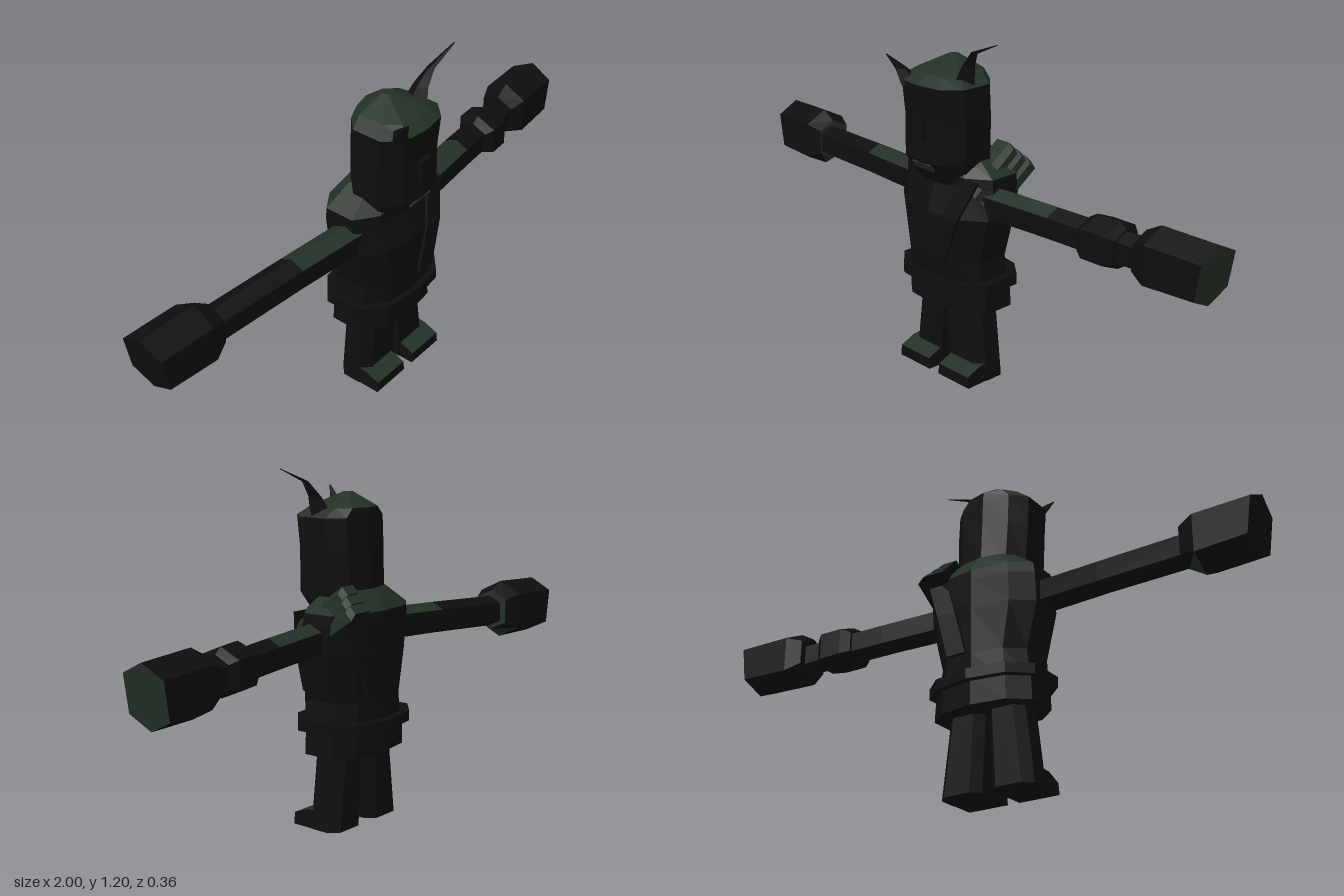
import * as THREE from 'three';

const charcoal = new THREE.MeshStandardMaterial({ color: 0x0e0e0e });
charcoal.name = 'charcoal';
const moss = new THREE.MeshStandardMaterial({ color: 0x243026 });
moss.name = 'mossGreen';

const V = (x, y, z) => new THREE.Vector3(x, y, z);

// Closed faceted skin over a list of rings; isMoss(normal, centre) picks the faces painted green
function loft(name, rings, isMoss = () => false) {
  const tris = [];
  const n = rings[0].length;
  for (let i = 0; i + 1 < rings.length; i++) {
    for (let j = 0; j < n; j++) {
      const k = (j + 1) % n;
      const [a, b, c, d] = [rings[i][j], rings[i][k], rings[i + 1][k], rings[i + 1][j]];
      tris.push([a, b, c], [a, c, d]);
    }
  }
  const cap = (ring, flip) => {
    const mid = ring.reduce((s, p) => s.add(p), V(0, 0, 0)).divideScalar(n);
    ring.forEach((p, j) => {
      const q = ring[(j + 1) % n];
      tris.push(flip ? [mid, q, p] : [mid, p, q]);
    });
  };
  cap(rings[0], true);
  cap(rings[rings.length - 1], false);
  // Turn the skin outwards
  let volume = 0;
  for (const [a, b, c] of tris) volume += a.dot(b.clone().cross(c));
  if (volume < 0) tris.forEach((t) => t.reverse());
  const sorted = [[], []];
  for (const [a, b, c] of tris) {
    const normal = b.clone().sub(a).cross(c.clone().sub(a)).normalize();
    const centre = a.clone().add(b).add(c).divideScalar(3);
    sorted[isMoss(normal, centre) ? 1 : 0].push(a, b, c);
  }
  const geo = new THREE.BufferGeometry().setFromPoints([...sorted[0], ...sorted[1]]);
  geo.addGroup(0, sorted[0].length, 0);
  geo.addGroup(sorted[0].length, sorted[1].length, 1);
  geo.computeVertexNormals();
  const mesh = new THREE.Mesh(geo, [charcoal, moss]);
  mesh.name = name;
  return mesh;
}

// Ten-sided body outline: half width, front z, back z
const outline = ([y, h, f, b]) => {
  const m = (f + b) / 2, F = f - m, B = b - m;
  return [[h, 0.45 * F], [0.62 * h, 0.9 * F], [0, F], [-0.62 * h, 0.9 * F], [-h, 0.45 * F],
    [-h, 0.45 * B], [-0.65 * h, 0.85 * B], [0, B], [0.65 * h, 0.85 * B], [h, 0.45 * B]]
    .map(([x, z]) => V(x, y, m + z));
};

// Upright hexagon across an arm: x, y, z, half height, half depth, lean
const hexagon = (s) => ([x, y, z, hy, hz, lean = 0]) =>
  [[1, 0], [0.6, 1], [-0.6, 1], [-1, 0], [-0.6, -1], [0.6, -1]]
    .map(([v, w]) => V(s * (x + lean * v), y + v * hy, z + w * hz));

// Tapering four-sided horn: each step is x, y, z, radius x, radius z
const horn = (name, steps) => loft(name, steps.map(([x, y, z, rx, rz]) =>
  [V(x + rx, y, z), V(x, y, z + rz), V(x - rx, y, z), V(x, y, z - rz)]));

const up = (n) => n.y > 0.4;

function createArm(s, name) {
  const arm = new THREE.Group();
  arm.name = name;
  const hex = hexagon(s);
  // Sleeve with green upper faces, then the bare forearm
  arm.add(loft('sleeve', [[0.14, 0.648, 0, 0.057, 0.05], [0.43, 0.638, -0.035, 0.056, 0.048]].map(hex), up));
  arm.add(loft('forearm', [[0.43, 0.638, -0.035, 0.056, 0.048], [0.78, 0.622, -0.075, 0.056, 0.048]].map(hex)));
  // Mitt with bevelled cuff
  arm.add(loft('mitt', [
    [0.745, 0.628, -0.08, 0.072, 0.062],
    [0.8, 0.625, -0.082, 0.105, 0.082],
    [0.985, 0.622, -0.098, 0.1, 0.082, 0.015],
  ].map(hex), (n, c) => n.x > 0.5 && Math.abs(n.y) < 0.85 && (s > 0 ? c.x > 0.9 : c.x > -0.85)));
  return arm;
}

function createLeg(s, name) {
  const leg = new THREE.Group();
  leg.name = name;
  const ring = (y, inner, outer, f, b) => {
    const c = 0.03;
    return [[inner, f], [outer - c, f], [outer, f - c], [outer, b + c], [outer - c, b], [inner + c, b], [inner, b + c]]
      .map(([x, z]) => V(s * x, y, z));
  };
  leg.add(loft('shin', [ring(0, 0.02, 0.175, 0.04, -0.085), ring(0.29, 0.004, 0.14, 0.04, -0.085)]));
  // Toe with sloping green top
  const toe = (z, h) => [[0.022, 0], [0.172, 0], [0.168, h], [0.026, h]].map(([x, y]) => V(s * x, y, z));
  leg.add(loft('toe', [toe(0, 0.065), toe(0.04, 0.062), toe(0.095, 0.04)], up));
  return leg;
}

export function createModel() {
  const model = new THREE.Group();
  model.name = 'hornedFigure';

  // Torso, belt and skirt
  model.add(loft('torso', [
    [0.33, 0.18, 0.1, -0.15], [0.44, 0.165, 0.118, -0.15], [0.6, 0.205, 0.118, -0.153],
    [0.7, 0.205, 0.088, -0.155], [0.735, 0.2, 0.085, -0.155], [0.8, 0.11, 0.05, -0.11],
  ].map(outline), (n, c) => n.y > 0.4 && c.y > 0.7));
  model.add(loft('belt', [[0.34, 0.205, 0.13, -0.18], [0.375, 0.205, 0.13, -0.18]].map(outline)));
  model.add(loft('skirt', [[0.26, 0.188, 0.1, -0.155], [0.35, 0.183, 0.1, -0.155]].map(outline)));

  // Head with domed green crown
  model.add(loft('head', [
    [0.69, 0.1, 0.085, -0.085], [0.78, 0.135, 0.15, -0.1], [0.93, 0.143, 0.145, -0.092],
    [1.035, 0.143, 0.158, -0.088], [1.065, 0.1, 0.12, -0.085], [1.112, 0.015, 0.015, -0.015],
  ].map(outline), (n, c) => n.y > 0.4 && c.y > 1.03));
  const box = (name, mat, size, pos) => {
    const mesh = new THREE.Mesh(new THREE.BoxGeometry(...size), mat);
    mesh.name = name;
    mesh.position.set(...pos);
    model.add(mesh);
    return mesh;
  };
  box('nose', charcoal, [0.05, 0.065, 0.03], [0, 0.893, 0.145]);
  box('chinPatch', moss, [0.085, 0.03, 0.008], [0, 0.763, 0.135]).rotation.x = 0.6;

  // Horns: long bent one on the left, short one on the right
  model.add(horn('leftHorn', [[0.085, 1.03, 0.04, 0.05, 0.05], [0.115, 1.1, 0.045, 0.026, 0.028],
    [0.15, 1.15, 0.055, 0.014, 0.014], [0.258, 1.195, 0.065, 0.003, 0.003]]));
  model.add(horn('rightHorn', [[-0.08, 1.02, 0.11, 0.04, 0.045], [-0.1, 1.07, 0.14, 0.02, 0.022],
    [-0.122, 1.118, 0.18, 0.003, 0.003]]));

  // Stepped plates over the left shoulder
  for (let i = 0; i < 3; i++) {
    const shift = i * 0.026;
    const plate = (x, drop) => [[0.075, 0.7], [-0.1, 0.825], [-0.125, 0.802], [0.06, 0.678]]
      .map(([z, y]) => V(x, y - shift - drop, z - shift));
    model.add(loft('shoulderPlate', [plate(0.1, 0), plate(0.155 + i * 0.013, 0), plate(0.175 + i * 0.013, 0.02)],
      (n) => n.y > 0.4 || n.x > 0.4));
  }
  // Sash running from the left shoulder down the chest and back
  for (const [z0, z1] of [[0.085, 0.122], [-0.15, -0.158]]) {
    const strip = (x, y, z) => [[-0.035, -0.008], [0.035, -0.008], [0.035, 0.006], [-0.035, 0.006]]
      .map(([dx, dz]) => V(x + dx, y, z + dz));
    model.add(loft('sash', [strip(0.15, 0.73, z0 * 0.85), strip(0.1, 0.6, z1 * 0.93), strip(0.05, 0.44, z1)]));
  }

  // Limbs
  for (const s of [1, -1]) {
    const side = s > 0 ? 'left' : 'right';
    model.add(createArm(s, side + 'Arm'), createLeg(s, side + 'Leg'));
  }
  // Wrapped bracelet on the left forearm
  model.add(loft('bracelet', [[0.55, 0.634, -0.05, 0.06, 0.055], [0.58, 0.634, -0.052, 0.078, 0.075],
    [0.66, 0.63, -0.06, 0.078, 0.075], [0.685, 0.628, -0.062, 0.06, 0.055]].map(hexagon(1))));
  return model;
}
